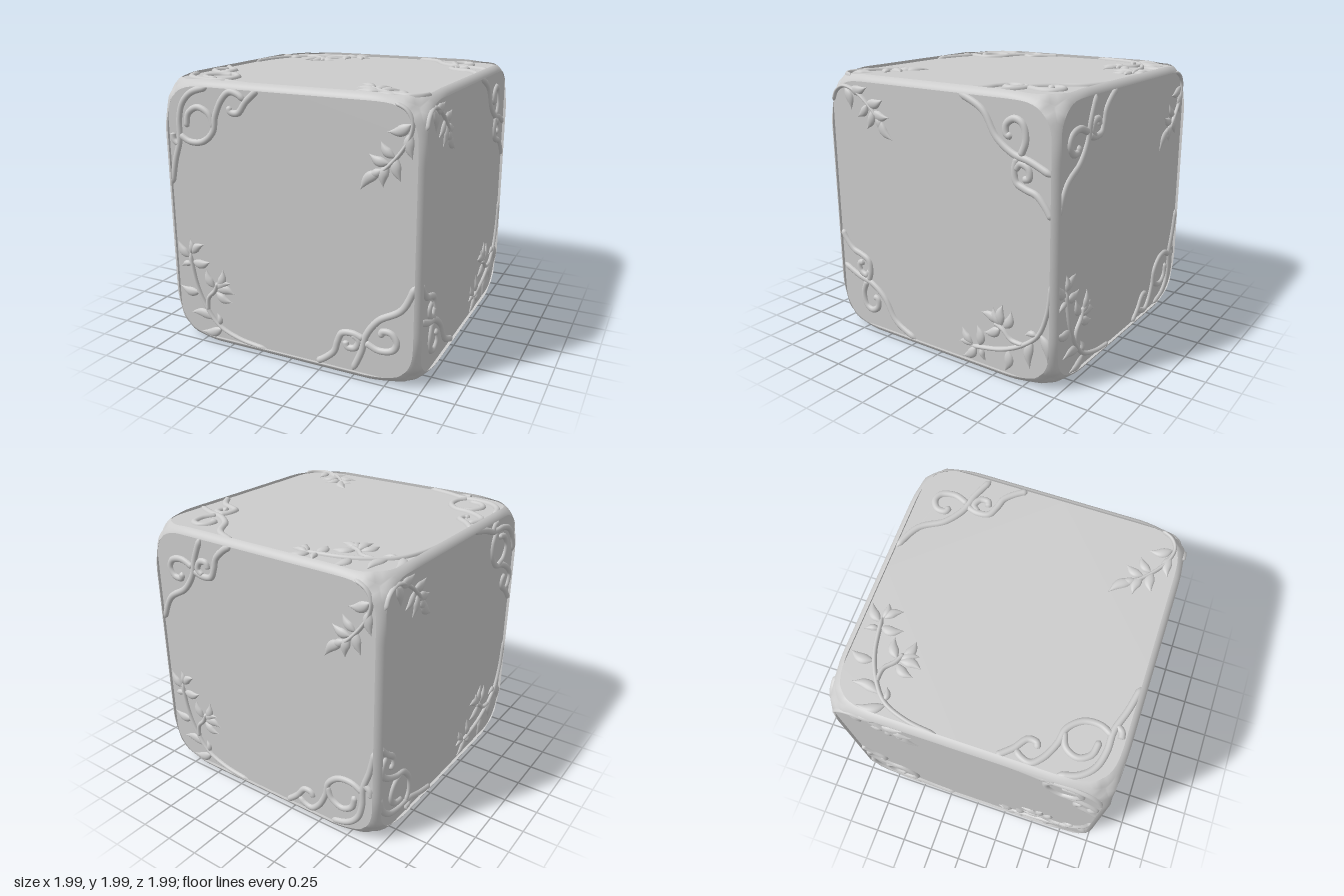
import * as THREE from 'three';
import { mergeGeometries, mergeVertices } from 'three/addons/utils/BufferGeometryUtils.js';

const PANEL = 0.973; // height of the sunken panels above the centre
const material = new THREE.MeshStandardMaterial({ color: 0xcccccc });

// Surface through rows of points; it faces (along a row) x (row to row)
function grid(rows) {
  const n = rows[0].length, index = [];
  for (let i = 0; i < rows.length - 1; i++) {
    for (let j = 0; j < n - 1; j++) {
      const a = i * n + j, c = a + n;
      index.push(a, a + 1, c, a + 1, c + 1, c);
    }
  }
  const g = new THREE.BufferGeometry().setFromPoints(rows.flat());
  g.setIndex(index);
  g.computeVertexNormals();
  return g;
}

// Half-round relief swept along a flat curve
function relief(points, steps, width, height) {
  const curve = new THREE.CatmullRomCurve3(points.map(([x, y]) => new THREE.Vector3(x, y, 0)), false, 'centripetal');
  const rows = [];
  for (let i = 0; i <= steps; i++) {
    const t = i / steps, p = curve.getPointAt(t), d = curve.getTangentAt(t);
    const w = width(t), h = height(t);
    rows.push(Array.from({ length: 9 }, (_, j) => {
      const a = Math.PI * j / 8, k = Math.cos(a) * w;
      return new THREE.Vector3(p.x - d.y * k, p.y + d.x * k, PANEL - 0.002 + Math.sin(a) * h);
    }));
  }
  return grid(rows);
}

// Vine: constant width, rounded off at both ends
function vine(points, w, h = 0.023) {
  const end = t => Math.sqrt(Math.min(1, t * 25 + 0.05, (1 - t) * 25 + 0.05));
  return relief(points, points.length * 7, t => w * end(t), t => h * end(t));
}

// Leaf: pointed, widest below the middle, gently curved
function leaf([x0, y0, x1, y1], i) {
  const bend = i % 2 ? 0.12 : -0.12, dx = x1 - x0, dy = y1 - y0;
  const mid = [x0 + dx / 2 - dy * bend, y0 + dy / 2 + dx * bend];
  const w = Math.min(0.037, 0.23 * Math.hypot(dx, dy));
  const swell = t => Math.max(0.02, Math.sin(Math.PI * Math.pow(t, 0.8)));
  return relief([[x0, y0], mid, [x1, y1]], 12, t => w * Math.pow(swell(t), 1.2), t => 0.004 + 0.02 * swell(t));
}

// Ornaments, each drawn for the corner in "home" (0 top left, counted clockwise)
const ornaments = {
  ringScroll: { home: 0, width: 0.024, vines: [
    [[-.95, .22], [-.91, .4], [-.86, .56], [-.855, .7], [-.82, .82], [-.74, .9], [-.6, .945]],
    [[-.87, .6], [-.77, .55], [-.66, .56], [-.57, .64], [-.545, .75], [-.485, .87], [-.42, .925], [-.35, .91], [-.3, .87]],
    [[-.56, .66], [-.6, .76], [-.69, .8], [-.77, .755], [-.795, .65]],
    [[-.2, .95], [-.29, .87], [-.36, .785], [-.42, .79], [-.43, .83]],
    [[-.87, .52], [-.91, .55], [-.92, .6]]
  ], leaves: [] },
  forkScroll: { home: 1, width: 0.025, vines: [
    [[.23, .95], [.42, .855], [.53, .69], [.66, .6], [.78, .57], [.945, .5]],
    [[.71, .59], [.75, .7], [.725, .8], [.665, .825], [.605, .785], [.605, .72], [.65, .71]],
    [[.69, .59], [.665, .5], [.68, .42], [.75, .385], [.83, .36], [.9, .29], [.945, .22]],
    [[.67, .5], [.71, .545], [.77, .52], [.775, .46], [.73, .445]]
  ], leaves: [] },
  smallSprig: { home: 0, width: 0.014, vines: [
    [[-.945, .78], [-.905, .86], [-.835, .9], [-.74, .885], [-.65, .835], [-.57, .77], [-.5, .7]]
  ], leaves: [
    [-.77, .89, -.6, .905], [-.82, .89, -.76, .735], [-.61, .8, -.45, .83], [-.6, .79, -.7, .69],
    [-.55, .745, -.4, .71], [-.56, .75, -.61, .61], [-.5, .7, -.365, .55], [-.52, .71, -.48, .59]
  ] },
  largeSprig: { home: 0, width: 0.017, vines: [
    [[-.95, .2], [-.92, .425], [-.85, .6], [-.72, .71], [-.56, .785], [-.37, .825], [-.3, .835]],
    [[-.74, .7], [-.64, .69], [-.57, .63], [-.5, .6]]
  ], leaves: [
    [-.81, .65, -.79, .86], [-.87, .58, -.93, .77], [-.85, .6, -.75, .62], [-.61, .77, -.585, .945],
    [-.39, .82, -.42, .92], [-.34, .835, -.22, .94], [-.31, .83, -.19, .83], [-.31, .82, -.22, .71],
    [-.37, .82, -.35, .66], [-.55, .63, -.41, .7], [-.53, .6, -.39, .55], [-.55, .61, -.49, .49],
    [-.58, .62, -.64, .48], [-.56, .61, -.57, .45]
  ] }
};

// Turn of each face, and its ornaments at top left, top right, bottom right, bottom left
const R = 'ringScroll', F = 'forkScroll', S = 'smallSprig', L = 'largeSprig', Q = Math.PI / 2;
const faces = [
  ['front', 0, 0, [R, S, F, L]],
  ['right', 0, Q, [S, F, L, F]],
  ['back', 0, 2 * Q, [F, S, R, L]],
  ['left', 0, -Q, [S, R, L, R]],
  ['top', -Q, 0, [L, F, S, R]],
  ['bottom', Q, 0, [S, F, L, R]]
];

// Rounded cube whose radius grows towards the vertices
function roundCube(p) {
  const near = Math.min(Math.abs(p.x), Math.abs(p.y), Math.abs(p.z));
  const r = 0.08 + 0.12 * THREE.MathUtils.smoothstep(near, 0.6, 1);
  const core = p.clone().clampScalar(r - 1, 1 - r);
  return p.clone().sub(core).setLength(r).add(core);
}

// Points around a square face, paired with the rounded panel outline inside it
function outline() {
  const pairs = [], M = 36, rad = 0.23;
  for (let k = 0; k <= 4 * M; k++) {
    const side = Math.floor(k / M) % 4, t = -1 + 2 * (k % M) / M;
    const [x, y] = [[1, t], [-t, 1], [-1, -t], [t, -1]][side];
    const outer = new THREE.Vector2(x, y);
    const core = outer.clone().clampScalar(rad - 0.95, 0.95 - rad);
    pairs.push([outer.clone().sub(core).setLength(rad).add(core), outer]);
  }
  return pairs;
}

export function createModel() {
  const model = new THREE.Group();
  model.name = 'ornamentedCube';
  const add = (parent, geometry, name) => {
    const mesh = new THREE.Mesh(geometry, material);
    mesh.name = name;
    parent.add(mesh);
  };

  // Shared pieces of one face
  const pairs = outline();
  const border = grid(pairs.map(([a, b]) => Array.from({ length: 11 }, (_, j) => {
    const q = a.clone().lerp(b, j / 10);
    return roundCube(new THREE.Vector3(q.x, q.y, 1));
  })));
  const wall = grid(pairs.map(([a]) => [
    new THREE.Vector3(a.x, a.y, PANEL), roundCube(new THREE.Vector3(a.x, a.y, 1))
  ]));
  const panel = new THREE.ShapeGeometry(new THREE.Shape(pairs.slice(0, -1).map(p => p[0])));
  panel.translate(0, 0, PANEL);
  const carvings = {};
  for (const [name, o] of Object.entries(ornaments)) {
    carvings[name] = mergeGeometries([...o.vines.map(v => vine(v, o.width)), ...o.leaves.map(leaf)]);
  }

  const borders = [];
  for (const [name, rx, ry, corners] of faces) {
    const face = new THREE.Group();
    face.name = name + 'Face';
    face.rotation.set(rx, ry, 0);
    face.position.y = 1;
    add(face, panel, 'panel');
    add(face, wall, 'panelRim');
    corners.forEach((type, i) => {
      const corner = new THREE.Group();
      corner.name = type + 'Corner';
      corner.rotation.z = -(i - ornaments[type].home) * Q;
      add(corner, carvings[type], type);
      face.add(corner);
    });
    face.updateMatrix();
    borders.push(border.clone().applyMatrix4(face.matrix));
    model.add(face);
  }

  // Frame of rounded edges, welded so it shades smoothly
  const joined = mergeGeometries(borders);
  joined.deleteAttribute('normal');
  const frame = mergeVertices(joined, 1e-4);
  frame.computeVertexNormals();
  add(model, frame, 'frame');
  return model;
}
